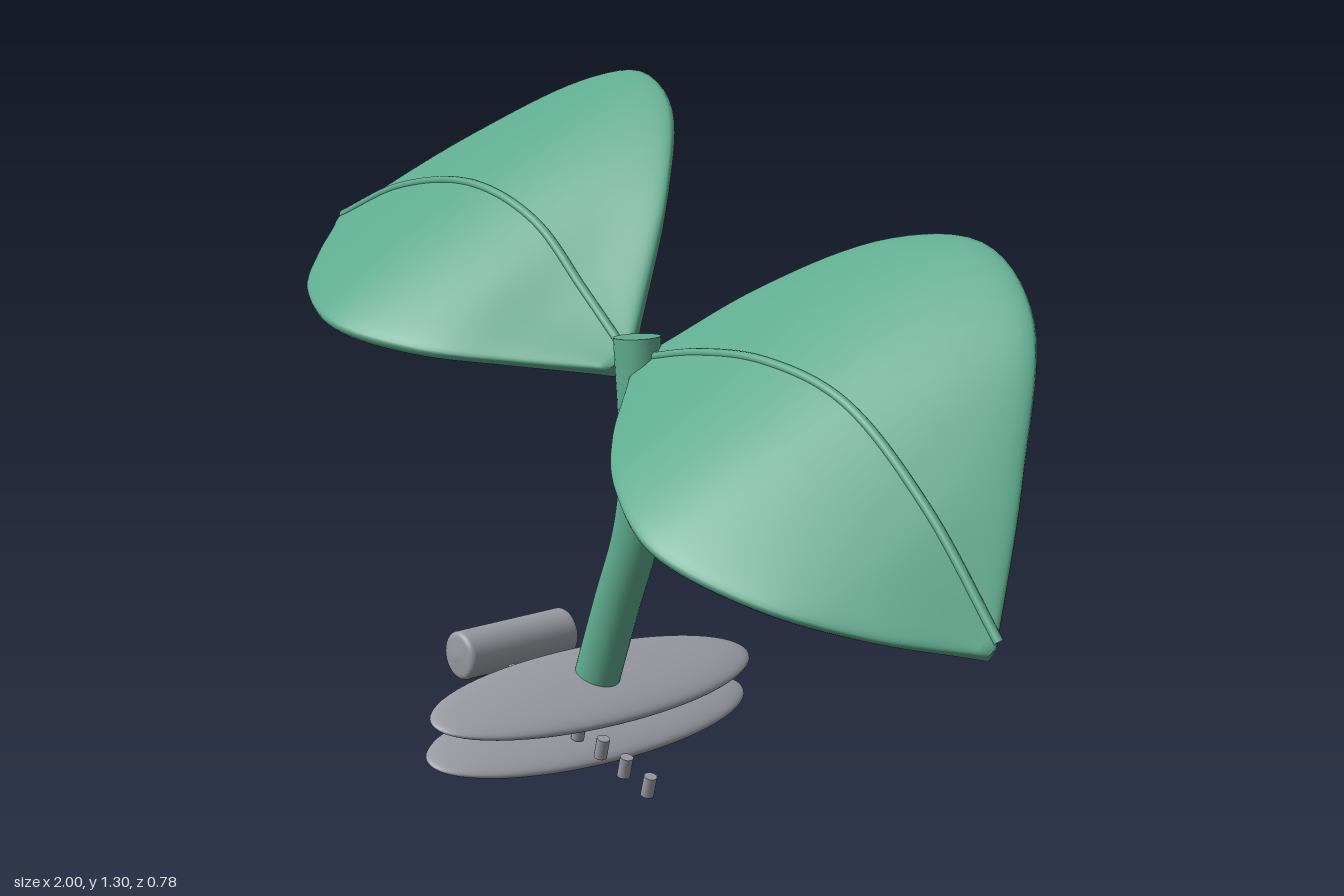
import * as THREE from 'three';

const V = (x, y, z = 0) => new THREE.Vector3(x, y, z);
const curve = (pts) => new THREE.CatmullRomCurve3(pts.map((p) => V(...p)));

const leafGreen = new THREE.MeshStandardMaterial({ name: 'leafGreen', color: 0x5eaa8e });
const stoneGrey = new THREE.MeshStandardMaterial({ name: 'stoneGrey', color: 0x9a9ba3 });

function part(name, geometry, material) {
  const mesh = new THREE.Mesh(geometry, material);
  mesh.name = name;
  return mesh;
}

// Thick curved blade lofted through back edge, midline and front edge, with a raised rib
function makeLeaf(name, back, mid, front) {
  const [b, m, f] = [back, mid, front].map(curve);
  const N = 48, K = 48, half = 0.021;
  const pos = [], idx = [], ribPts = [];
  for (let i = 0; i <= N; i++) {
    const t = i / N;
    const B = b.getPointAt(t), M = m.getPointAt(t), F = f.getPointAt(t);
    const normal = m.getTangentAt(t).cross(V(0.1, 0.27, -0.34)).normalize();
    if (normal.y < 0) normal.negate();
    ribPts.push(V(M.x + normal.x * half, M.y + half * 1.15, -0.002));
    for (let k = 0; k < K; k++) {
      const a = (k / K) * Math.PI * 2, c = Math.cos(a), s = Math.sin(a);
      const u = Math.sign(c) * Math.pow(Math.abs(c), 0.6);
      const h = half * Math.sign(s) * Math.pow(Math.abs(s), 0.4);
      // quadratic through F (u=-1), M (u=0), B (u=1)
      const p = V(0, 0, 0)
        .addScaledVector(F, (u * (u - 1)) / 2)
        .addScaledVector(M, 1 - u * u)
        .addScaledVector(B, (u * (u + 1)) / 2)
        .addScaledVector(normal, h);
      pos.push(p.x, p.y, p.z);
    }
  }
  // winding depends on which way the leaf points
  const toLeft = mid[mid.length - 1][0] > 0;
  const tri = (p, q, r) => (toLeft ? idx.push(p, r, q) : idx.push(p, q, r));
  for (let i = 0; i < N; i++) {
    for (let k = 0; k < K; k++) {
      const k2 = (k + 1) % K, a = i * K + k, c = i * K + k2;
      tri(a, a + K, c);
      tri(c, a + K, c + K);
    }
  }
  for (let k = 1; k < K - 1; k++) {
    tri(0, k, k + 1);
    tri(N * K, N * K + k + 1, N * K + k);
  }
  const g = new THREE.BufferGeometry();
  g.setAttribute('position', new THREE.Float32BufferAttribute(pos, 3));
  g.setIndex(idx);
  g.computeVertexNormals();
  const group = new THREE.Group();
  group.name = name;
  group.add(
    part('leafBlade', g, leafGreen),
    part('leafRib', new THREE.TubeGeometry(new THREE.CatmullRomCurve3(ribPts), 60, 0.009, 10), leafGreen),
  );
  return group;
}

export function createModel() {
  const model = new THREE.Group();
  model.name = 'sprout';

  // Curved oval stem with flat ends
  const stem = new THREE.Group();
  stem.name = 'stem';
  stem.scale.z = 0.85;
  const path = curve([[-0.095, 0.145, 0], [-0.075, 0.2, 0], [-0.025, 0.33, 0], [0.03, 0.47, 0],
    [0.053, 0.6, 0], [0.048, 0.72, 0], [0.034, 0.865, 0]]);
  stem.add(part('stemTube', new THREE.TubeGeometry(path, 40, 0.05, 28), leafGreen));
  for (const t of [0, 1]) {
    const cap = part('stemCap', new THREE.CircleGeometry(0.05, 28), leafGreen);
    cap.position.copy(path.getPointAt(t));
    const dir = path.getTangentAt(t).multiplyScalar(t ? 1 : -1);
    cap.quaternion.setFromUnitVectors(V(0, 0, 1), dir);
    stem.add(cap);
  }
  model.add(stem);

  // Pair of leaves, both tipped towards the front
  model.add(makeLeaf('leftLeaf',
    [[0.06, 0.83, -0.03], [0.2, 0.96, -0.18], [0.4, 1.065, -0.31], [0.59, 1.078, -0.36],
      [0.76, 0.98, -0.31], [0.89, 0.735, -0.16], [0.985, 0.49, -0.01]],
    [[0.06, 0.803, 0], [0.22, 0.84, 0], [0.4, 0.855, 0], [0.6, 0.82, 0], [0.8, 0.68, 0], [0.985, 0.48, 0]],
    [[0.06, 0.78, 0.03], [0.2, 0.715, 0.185], [0.33, 0.665, 0.28], [0.5, 0.602, 0.335],
      [0.7, 0.542, 0.275], [0.85, 0.502, 0.16], [0.985, 0.474, 0.01]]));
  model.add(makeLeaf('rightLeaf',
    [[-0.01, 0.83, -0.03], [-0.14, 1.11, -0.22], [-0.27, 1.25, -0.33], [-0.4, 1.3, -0.36],
      [-0.55, 1.27, -0.33], [-0.75, 1.152, -0.21], [-0.99, 0.955, -0.01]],
    [[-0.01, 0.803, 0], [-0.15, 0.91, 0], [-0.3, 1.02, 0], [-0.5, 1.068, 0], [-0.75, 1.035, 0], [-0.99, 0.943, 0]],
    [[-0.01, 0.79, 0.03], [-0.15, 0.8, 0.155], [-0.3, 0.812, 0.275], [-0.5, 0.836, 0.335],
      [-0.7, 0.87, 0.27], [-0.85, 0.903, 0.15], [-0.99, 0.935, 0.01]]));

  // Two tilted lens-shaped base discs
  const tilt = -0.25;
  for (const [name, x, y] of [['upperDisc', -0.097, 0.132], ['lowerDisc', -0.113, 0.05]]) {
    const disc = part(name, new THREE.SphereGeometry(1, 64, 32), stoneGrey);
    disc.scale.set(0.133, 0.029, 0.39);
    disc.position.set(x, y, 0);
    disc.rotation.z = tilt;
    model.add(disc);
  }

  // Row of small pegs following the tilt
  for (let i = 0; i < 7; i++) {
    const peg = part('peg', new THREE.CylinderGeometry(0.013, 0.013, 0.042, 16), stoneGrey);
    peg.position.set(-0.25 + i * 0.073, 0.131 - i * 0.017, 0.092);
    peg.rotation.z = tilt;
    model.add(peg);
  }

  // Bar lying front to back, with softened ends
  const profile = [new THREE.Vector2(0, -0.142)];
  for (let i = 0; i <= 6; i++) {
    const a = (i / 6) * Math.PI / 2;
    profile.push(new THREE.Vector2(0.039 + 0.012 * Math.sin(a), -0.126 - 0.012 * Math.cos(a)));
  }
  const upper = profile.map((p) => new THREE.Vector2(p.x, -p.y)).reverse();
  const bar = part('bar', new THREE.LatheGeometry([...profile, ...upper], 32), stoneGrey);
  bar.rotation.x = Math.PI / 2;
  bar.position.set(-0.38, 0.148, 0);
  model.add(bar);

  return model;
}
